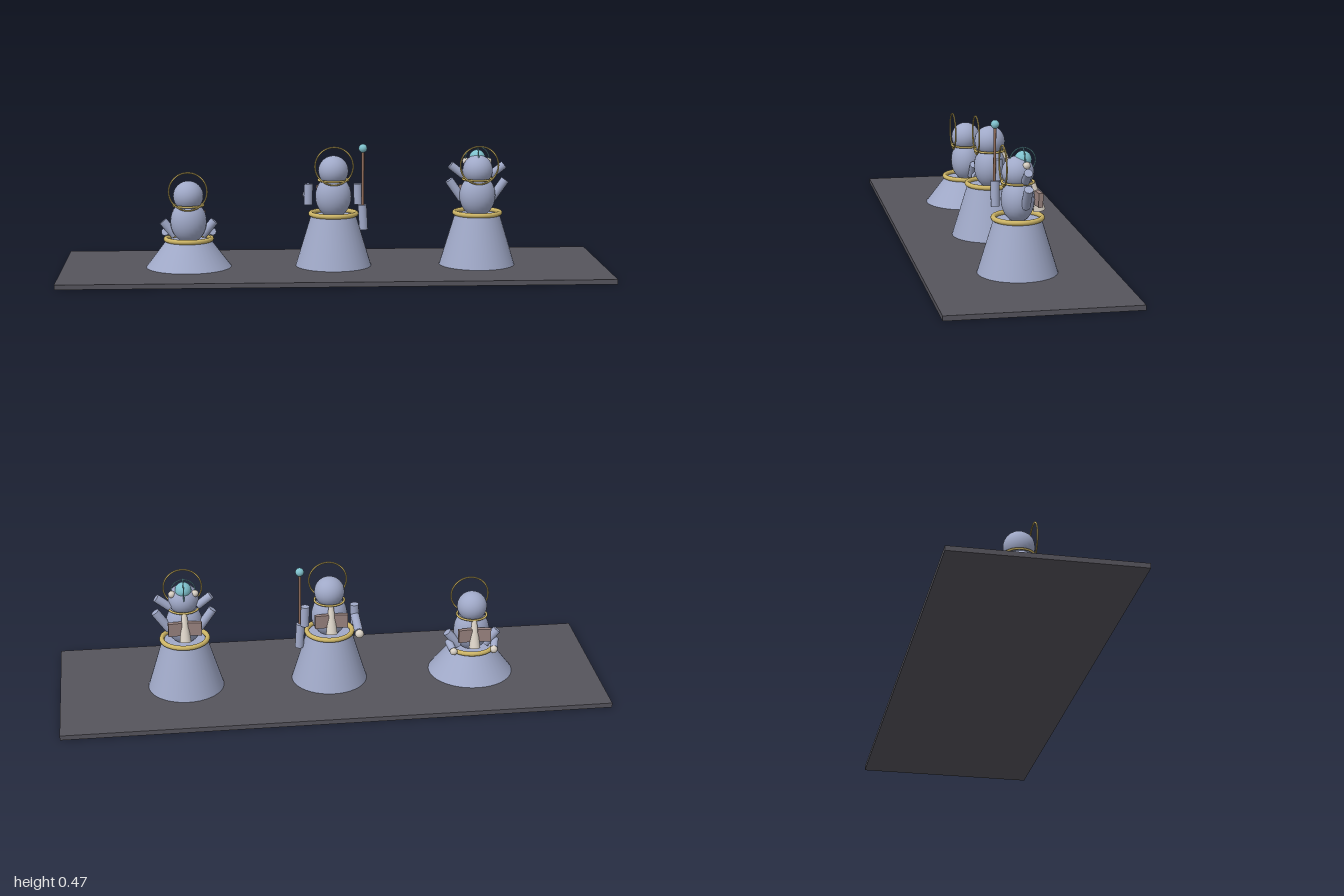
import * as THREE from 'three';

const material = (name, color) => {
  const m = new THREE.MeshStandardMaterial({ color });
  m.name = name;
  return m;
};
const robe = material('blue grey robe', 0xa0a9c8);
const slate = material('dark slate', 0x55545c);
const gold = material('gold trim', 0xcdb566);
const cream = material('cream', 0xd8d0c4);
const brown = material('book brown', 0x9a8480);
const wood = material('staff wood', 0x8e6a58);
const cyan = material('cyan glass', 0x7fc2ce);

function add(parent, name, geometry, mat, x = 0, y = 0, z = 0) {
  const mesh = new THREE.Mesh(geometry, mat);
  mesh.name = name;
  mesh.position.set(x, y, z);
  parent.add(mesh);
  return mesh;
}

// Cylinder or cone running between two points
function rod(parent, name, a, b, r0, r1, mat) {
  const from = new THREE.Vector3(...a), to = new THREE.Vector3(...b);
  const axis = to.clone().sub(from);
  const mesh = add(parent, name, new THREE.CylinderGeometry(r1, r0, axis.length(), 20), mat);
  mesh.position.copy(from).add(to).multiplyScalar(0.5);
  mesh.quaternion.setFromUnitVectors(new THREE.Vector3(0, 1, 0), axis.normalize());
}

const ball = (parent, name, r, mat, x, y, z) =>
  add(parent, name, new THREE.SphereGeometry(r, 24, 16), mat, x, y, z);

const ring = (parent, name, r, tube, mat, x, y, z) =>
  add(parent, name, new THREE.TorusGeometry(r, tube, 10, 48), mat, x, y, z);

// Seated robed figure; heights are relative to the top of its skirt
function figure(root, name, x, seatY, skirtRadius) {
  const g = new THREE.Group();
  g.name = name;
  g.position.set(x, seatY, 0);
  root.add(g);

  const h = seatY - 0.0175;
  add(g, 'skirt', new THREE.CylinderGeometry(0.083, skirtRadius, h, 40), robe, 0, -h / 2, 0);
  ring(g, 'belt', 0.084, 0.009, gold, 0, 0.006, 0).rotation.x = Math.PI / 2;
  ball(g, 'torso', 1, robe, 0, 0.07, 0).scale.set(0.067, 0.08, 0.058);
  ball(g, 'head', 0.056, robe, 0, 0.165, 0);
  ring(g, 'collar', 0.055, 0.004, gold, 0, 0.131, 0).rotation.x = Math.PI / 2;
  ring(g, 'halo', 0.07, 0.003, gold, 0, 0.188, 0.051);

  // Beard and open book
  rod(g, 'beard', [0, 0.128, -0.052], [0, 0.028, -0.076], 0.009, 0.021, cream);
  for (const s of [-1, 1]) {
    add(g, 'bookHalf', new THREE.BoxGeometry(0.05, 0.05, 0.016), brown, s * 0.036, 0.076, -0.066)
      .rotation.y = s * 0.1;
  }
  return g;
}

export function createModel() {
  const root = new THREE.Group();
  root.name = 'threeSeatedFigures';
  add(root, 'base', new THREE.BoxGeometry(2, 0.0175, 0.667), slate, 0, 0.00875, 0);

  const reader = figure(root, 'readerFigure', -0.535, 0.115, 0.157);
  const herald = figure(root, 'staffFigure', 0, 0.205, 0.14);
  const keeper = figure(root, 'globeFigure', 0.535, 0.205, 0.14);

  for (const s of [-1, 1]) {
    // Lowered arms
    rod(reader, 'upperArm', [s * 0.05, 0.015, -0.017], [s * 0.095, 0.07, -0.017], 0.016, 0.016, robe);
    rod(reader, 'forearm', [s * 0.088, 0.03, -0.015], [s * 0.078, 0.012, -0.055], 0.014, 0.014, robe);
    ball(reader, 'hand', 0.014, cream, s * 0.076, 0.01, -0.062);

    // Raised arms
    rod(keeper, 'upperArm', [s * 0.055, 0.055, -0.017], [s * 0.105, 0.126, -0.017], 0.016, 0.016, robe);
    rod(keeper, 'forearm', [s * 0.05, 0.143, -0.017], [s * 0.1, 0.182, -0.017], 0.015, 0.015, robe);
    ball(keeper, 'hand', 0.013, cream, s * 0.042, 0.195, -0.022);

    // Hanging upper arms
    rod(herald, 'upperArm', [s * 0.093, 0.038, -0.015], [s * 0.091, 0.115, -0.015], 0.016, 0.016, robe);
  }

  // Pointing forearm and staff arm
  rod(herald, 'pointingForearm', [-0.093, 0.07, -0.02], [-0.093, 0.055, -0.13], 0.016, 0.016, robe);
  ball(herald, 'pointingHand', 0.016, cream, -0.093, 0.055, -0.142);
  rod(herald, 'staffForearm', [0.112, -0.055, 0], [0.107, 0.038, 0], 0.016, 0.016, robe);
  rod(herald, 'staff', [0.109, -0.055, 0.004], [0.109, 0.24, 0], 0.005, 0.005, wood);
  ball(herald, 'staffOrb', 0.016, cyan, 0.109, 0.248, 0);

  // Globe with crossed rings
  ball(keeper, 'globe', 0.03, cyan, 0, 0.208, -0.018);
  ring(keeper, 'globeRing', 0.044, 0.002, cyan, 0, 0.205, -0.017);
  ring(keeper, 'globeRing', 0.044, 0.002, cyan, 0, 0.205, -0.017).rotation.y = Math.PI / 2;

  return root;
}
